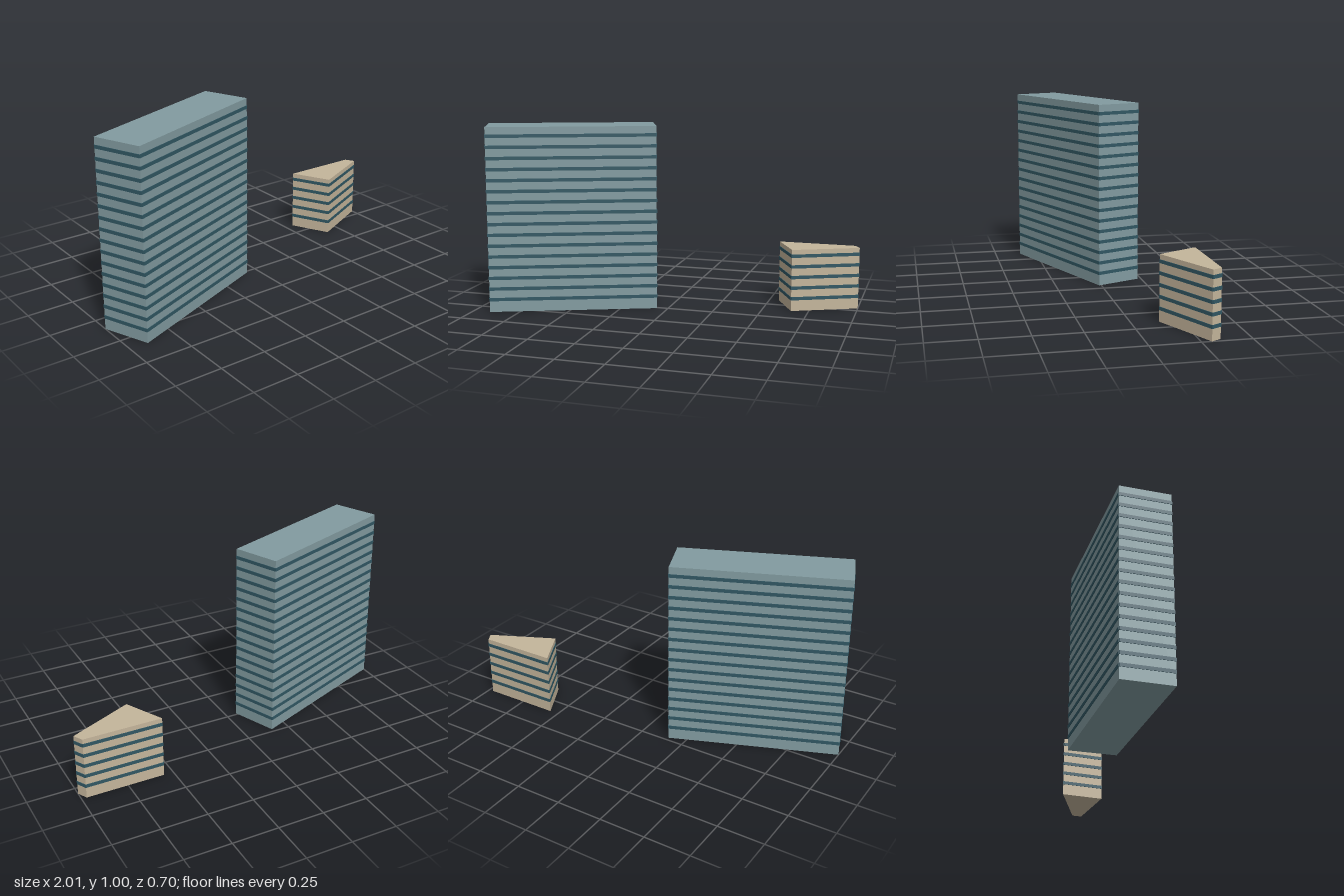
import * as THREE from 'three';

const BAND_START = 0.069, BAND_STEP = 0.0591, BAND_HEIGHT = 0.018, BAND_DEPTH = 0.006;

// A building: prism over a footprint of [x, z] corners, with thin window bands on each wall
function building(name, corners, height, bandCount, color, bandMaterial) {
  const group = new THREE.Group();
  group.name = name;

  const shape = new THREE.Shape(corners.map(([x, z]) => new THREE.Vector2(x, -z)));
  const geometry = new THREE.ExtrudeGeometry(shape, { depth: height, bevelEnabled: false });
  geometry.rotateX(-Math.PI / 2);
  const body = new THREE.Mesh(geometry, new THREE.MeshStandardMaterial({ color }));
  body.name = name + 'Body';
  group.add(body);

  corners.forEach(([x0, z0], i) => {
    const [x1, z1] = corners[(i + 1) % corners.length];
    const length = Math.hypot(x1 - x0, z1 - z0);
    const bandGeometry = new THREE.BoxGeometry(length, BAND_HEIGHT, BAND_DEPTH);
    const wall = new THREE.Group();
    wall.name = name + 'WallBands';
    wall.position.set((x0 + x1) / 2, 0, (z0 + z1) / 2);
    wall.rotation.y = -Math.atan2(z1 - z0, x1 - x0);
    for (let k = 0; k < bandCount; k++) {
      const band = new THREE.Mesh(bandGeometry, bandMaterial);
      band.name = 'windowBand';
      band.position.y = BAND_START + k * BAND_STEP;
      wall.add(band);
    }
    group.add(wall);
  });
  return group;
}

export function createModel() {
  const model = new THREE.Group();
  model.name = 'officeBuildings';
  const glass = new THREE.MeshStandardMaterial({ color: 0x315763 });

  // Tall slab tower, turned on its plot
  model.add(building('tower',
    [[-1, 0.105], [-0.903, 0.349], [-0.06, 0.012], [-0.156, -0.229]],
    1.003, 16, 0x829ba0, glass));

  // Low building on a wedge-shaped plot
  model.add(building('annex',
    [[0.552, -0.35], [0.657, -0.14], [1, -0.3], [0.973, -0.35]],
    0.34, 5, 0xc4b59b, glass));

  return model;
}
